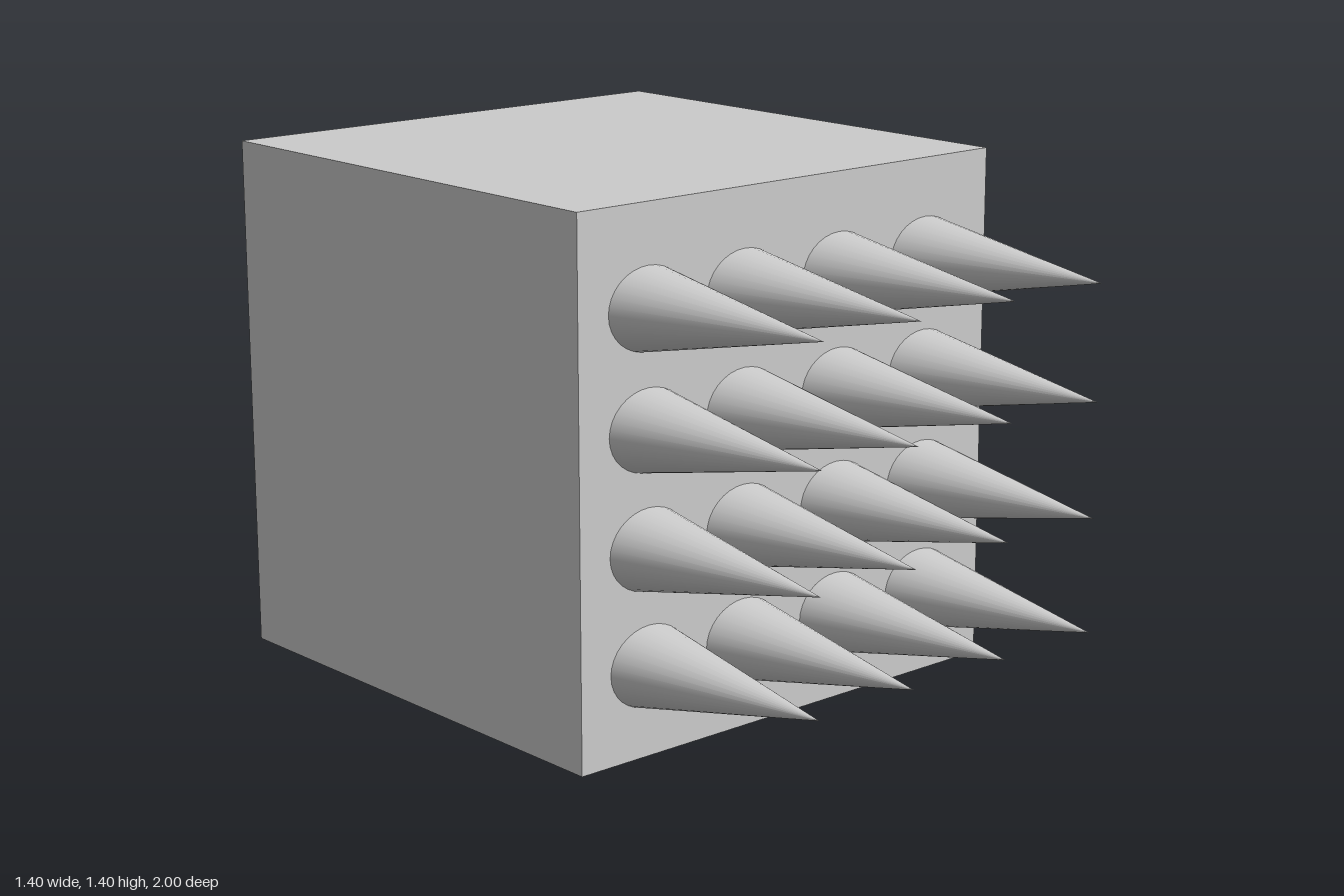
import * as THREE from 'three';

export function createModel() {
  const model = new THREE.Group();
  const material = new THREE.MeshStandardMaterial({ color: 0xcccccc });
  const size = 1.4, front = 0.4, length = 0.6;

  // Solid cube at the back
  const block = new THREE.Mesh(new THREE.BoxGeometry(size, size, size), material);
  block.name = 'block';
  block.position.set(0, size / 2, front - size / 2);
  model.add(block);

  // Oval spike along +z, its tip leaning slightly upward
  const spikeGeometry = new THREE.ConeGeometry(1, length, 32)
    .rotateX(Math.PI / 2)
    .translate(0, 0, length / 2)
    .scale(0.126, 0.106, 1)
    .applyMatrix4(new THREE.Matrix4().makeShear(0, 0, 0, 0, 0, 0.022 / length));

  // Four by four grid of spikes on the front face
  const spikes = new THREE.Group();
  spikes.name = 'spikes';
  const lean = spikeGeometry.attributes.position;
  for (let i = 0; i < lean.count; i++) {
    // Set the lean exactly: height offset grows with distance from the face
    const z = lean.getZ(i);
    if (z > length - 0.001) lean.setY(i, 0.022);
  }
  for (const y of [0.236, 0.537, 0.838, 1.139]) {
    for (const x of [-0.48, -0.165, 0.159, 0.473]) {
      const spike = new THREE.Mesh(spikeGeometry, material);
      spike.name = 'spike';
      spike.position.set(x, y, front);
      spikes.add(spike);
    }
  }
  model.add(spikes);
  return model;
}
